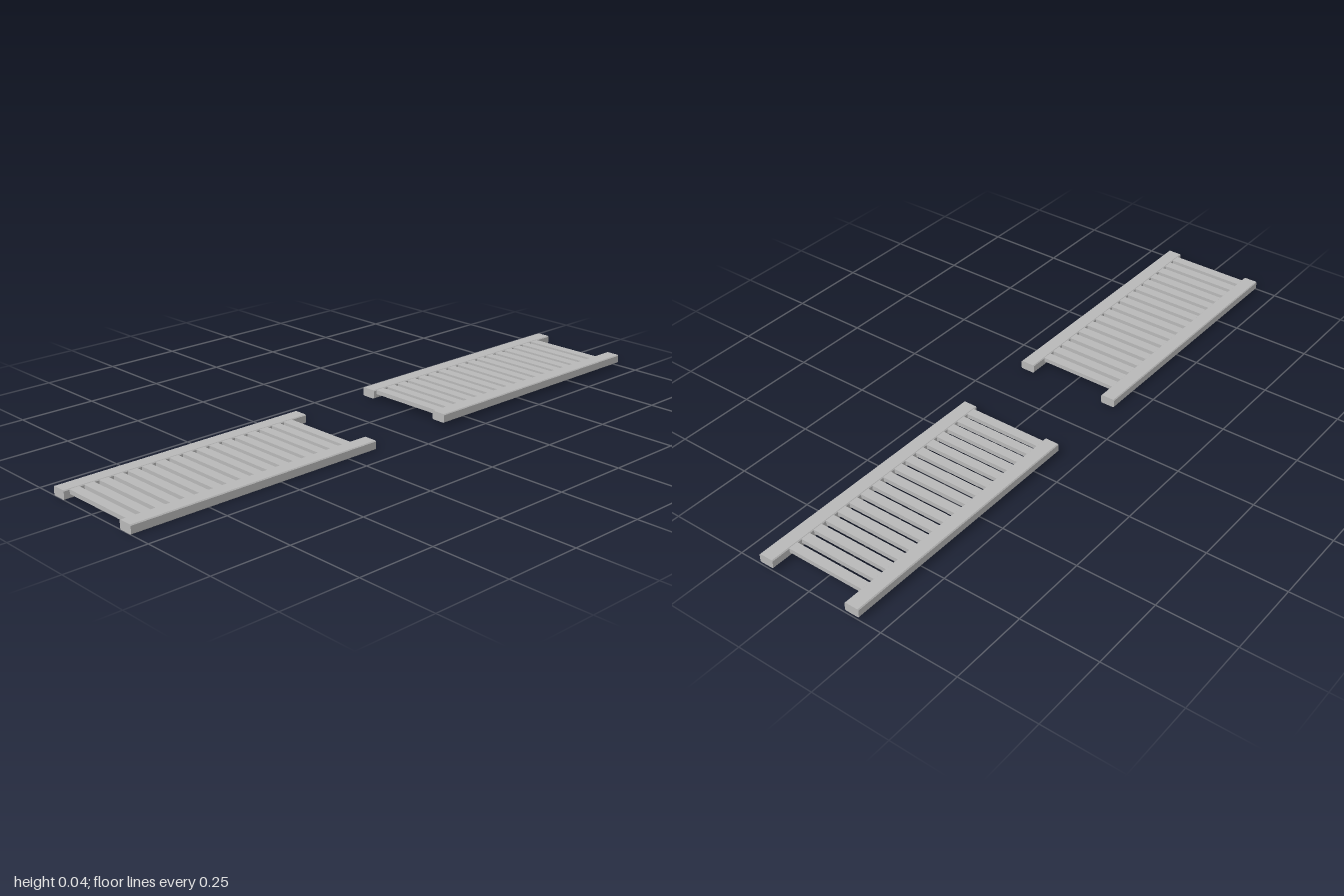
import * as THREE from 'three';

const metal = new THREE.MeshStandardMaterial({ color: 0xb8b8b8 });
metal.name = 'grey metal';

// Bar running along x, centred, with chamfered long edges
function railGeometry(length, height, depth, c) {
  const w = depth / 2, h = height / 2;
  const profile = new THREE.Shape([
    [-w + c, -h], [w - c, -h], [w, -h + c], [w, h - c],
    [w - c, h], [-w + c, h], [-w, h - c], [-w, -h + c],
  ].map(([x, y]) => new THREE.Vector2(x, y)));
  const g = new THREE.ExtrudeGeometry(profile, { depth: length, bevelEnabled: false });
  g.translate(0, 0, -length / 2);
  g.rotateY(Math.PI / 2);
  return g;
}

function createGrate(name, x, y, firstSlat) {
  const grate = new THREE.Group();
  grate.name = name;

  // Side rails
  const railGeo = railGeometry(0.857, 0.028, 0.048, 0.003);
  for (const side of [1, -1]) {
    const rail = new THREE.Mesh(railGeo, metal);
    rail.name = side > 0 ? 'frontRail' : 'backRail';
    rail.position.set(x, y + 0.014, side * 0.153);
    grate.add(rail);
  }

  // Cross slats set just below the rail tops
  const slatGeo = new THREE.BoxGeometry(0.031, 0.0135, 0.264);
  for (let i = 0; i < 17; i++) {
    const slat = new THREE.Mesh(slatGeo, metal);
    slat.name = `slat${i + 1}`;
    slat.position.set(firstSlat + i * 0.0469, y + 0.0195, 0);
    grate.add(slat);
  }
  return grate;
}

export function createModel() {
  const model = new THREE.Group();
  model.name = 'slattedGrates';
  model.add(createGrate('rightGrate', -0.5715, 0, -0.966));
  model.add(createGrate('leftGrate', 0.5715, 0.009, 0.171));
  return model;
}
